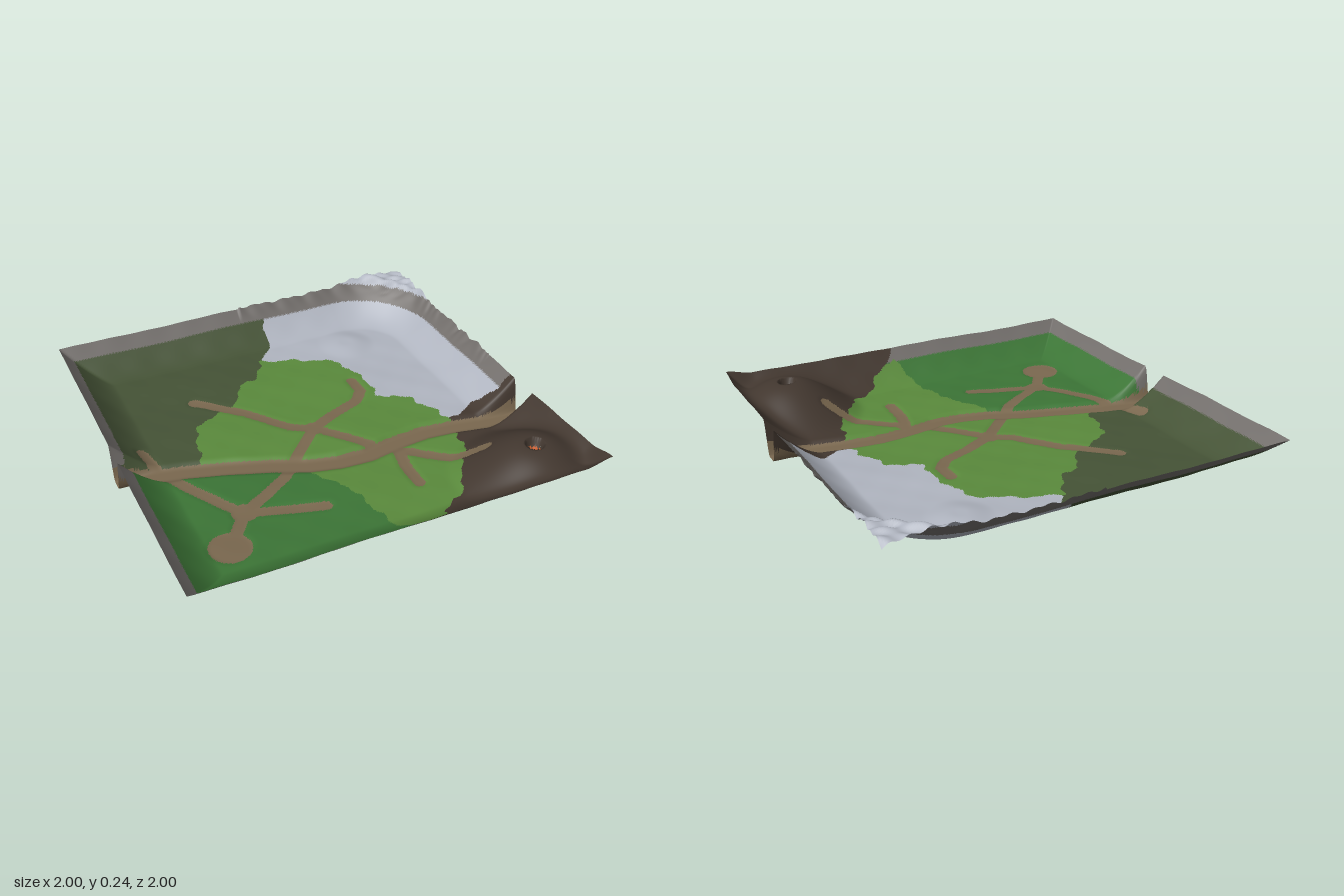
import * as THREE from 'three';

const N = 250;
const { hypot, sin, max, min, abs, pow } = Math;
const step = THREE.MathUtils.smoothstep;
const mat = (name, color) => {
  const m = new THREE.MeshStandardMaterial({ color, side: THREE.DoubleSide });
  m.name = name;
  return m;
};

// Sunken trail that crosses the whole map
const river = [[-1, 0], [-0.85, 0.02], [-0.7, 0.05], [-0.5, 0.11], [-0.3, 0.18], [-0.15, 0.25], [0, 0.288],
  [0.15, 0.295], [0.3, 0.265], [0.48, 0.25], [0.65, 0.27], [0.8, 0.3], [1, 0.31]];

// Narrow footpaths
const paths = [
  [[-0.46, -0.46], [-0.25, -0.26], [-0.1, -0.06], [0, 0], [0.1, 0.12], [0.2, 0.24]],
  [[0, 0], [0.14, -0.07], [0.3, -0.13], [0.36, -0.2], [0.36, -0.3]],
  [[0, 0], [-0.17, 0.17], [-0.28, 0.29], [-0.42, 0.38], [-0.55, 0.45]],
  [[-0.83, -0.14], [-0.8, 0], [-0.72, 0.18], [-0.62, 0.35], [-0.55, 0.45], [-0.2, 0.56]],
  [[-0.55, 0.45], [-0.62, 0.55], [-0.69, 0.64]],
  [[0.3, 0.3], [0.265, 0.45], [0.26, 0.59]],
  [[0.3, 0.33], [0.45, 0.46], [0.61, 0.58]],
];

// Outline of the central meadow
const meadow = [[0, -0.69], [0.12, -0.64], [0.25, -0.59], [0.36, -0.52], [0.4, -0.42], [0.43, -0.3], [0.42, -0.13],
  [0.47, -0.09], [0.56, -0.05], [0.58, 0.02], [0.62, 0.08], [0.63, 0.16], [0.67, 0.25], [0.6, 0.36], [0.58, 0.48],
  [0.5, 0.57], [0.45, 0.65], [0.38, 0.75], [0.25, 0.83], [0.17, 0.93], [0.08, 0.945], [0.03, 0.88], [0, 0.75],
  [-0.03, 0.6], [-0.06, 0.47], [-0.13, 0.38], [-0.17, 0.28], [-0.3, 0.18], [-0.5, 0.11], [-0.6, 0.07], [-0.59, 0],
  [-0.57, -0.1], [-0.52, -0.24], [-0.42, -0.3], [-0.3, -0.35], [-0.22, -0.43], [-0.2, -0.5], [-0.08, -0.54],
  [-0.03, -0.62]];

const crater = [0.755, 0.757];

function distToLine(x, z, line) {
  let best = 9;
  for (let i = 1; i < line.length; i++) {
    const [ax, az] = line[i - 1], dx = line[i][0] - ax, dz = line[i][1] - az;
    const t = min(1, max(0, ((x - ax) * dx + (z - az) * dz) / (dx * dx + dz * dz)));
    best = min(best, hypot(x - ax - t * dx, z - az - t * dz));
  }
  return best;
}

function inside(x, z, poly) {
  let hit = false;
  for (let i = 0, j = poly.length - 1; i < poly.length; j = i++) {
    const [ax, az] = poly[i], [bx, bz] = poly[j];
    if ((az > z) !== (bz > z) && x < ((bx - ax) * (z - az)) / (bz - az) + ax) hit = !hit;
  }
  return hit;
}

// Height of a polyline at a given x
function lineZ(x, line) {
  for (let i = 1; i < line.length; i++) {
    const [ax, az] = line[i - 1], [bx, bz] = line[i];
    if (x <= bx) return az + ((bz - az) * (x - ax)) / (bx - ax);
  }
  return line[line.length - 1][1];
}

function pathDist(x, z) {
  let d = min(hypot(x + 0.69, z - 0.64) - 0.068, hypot(x, z) - 0.022, hypot(x + 0.55, z - 0.45) - 0.03);
  for (const p of paths) d = min(d, distToLine(x, z, p));
  return d;
}

// How far out a point lies: square, with a rounded corner on the snowy side
function reach(x, z) {
  if (x > 0 && z < 0) return 0.55 + hypot(max(x - 0.55, 0), max(-z - 0.55, 0));
  return max(abs(x), abs(z));
}

function height(x, z) {
  const r = reach(x, z), t = max(0, (r - 0.78) / 0.22);
  let h = 0.02 + 0.16 * pow(min(t, 1.1), 1.5);
  h += 0.002 * (sin(9 * x + 4 * z) + sin(13 * z - 6 * x + 1)) + 0.001 * sin(31 * x + 2) * sin(27 * z);
  // raised corner at the front
  if (x > 0 && z > 0) h += 0.025 * step(min(x, z), 0.85, 1);
  // snow mound and rugged snowy peaks
  h += 0.016 * (1 - step(hypot(x - 0.5, z + 0.65), 0.03, 0.16));
  if (x > 0 && z < 0) {
    const rough = step(r, 0.93, 1.05);
    h += rough * (0.012 + 0.013 * sin(38 * x + 9 * sin(11 * z)) * sin(33 * z + 2) + 0.007 * sin(71 * x - 52 * z));
    h -= 0.03 * step(r, 1.1, 1.2);
  }
  // volcano with its crater
  const d = hypot(x - crater[0], z - crater[1]);
  const cone = 0.196 * (1 - step(d, 0.04, 0.45));
  h = pow(h ** 4 + cone ** 4, 0.25);
  if (d < 0.05) h = min(h, 0.15 + 0.06 * step(d, 0.032, 0.05));
  // footpaths and the sunken trail
  h -= 0.005 * (1 - step(pathDist(x, z), 0.015, 0.05));
  return max(0, h) * step(distToLine(x, z, river), 0.028, 0.078);
}

function region(x0, z0, y) {
  if (hypot(x0 - crater[0], z0 - crater[1]) < 0.033) return null;
  if (distToLine(x0, z0, river) < 0.05 || pathDist(x0, z0) < 0.029) return 'trails';
  // ragged borders
  const x = x0 + 0.008 * sin(41 * z0) + 0.005 * sin(83 * z0 + 1);
  const z = z0 + 0.008 * sin(37 * x0 + 2) + 0.005 * sin(79 * x0);
  if (inside(x, z, meadow)) return 'meadow';
  const r = reach(x0, z0), south = z0 > lineZ(x0, river);
  if (south && x > (z > 0.9 ? 0.17 - 1.1 * (z - 0.9) : 0.1)) return 'volcanicGround';
  if (!south && x > 0.62 && z > lineZ(x, [[0.62, 0.22], [0.72, 0.2], [0.79, 0.15], [0.88, 0.17], [1.1, 0.23]])) {
    return 'volcanicGround';
  }
  if (r > 1.005) return 'snowfield';
  if (r > 0.94 && y > 0.06) return 'rockRim';
  if (south) return 'lowland';
  return x > lineZ(z, [[-1.1, 0.12], [-0.9, 0.12], [-0.82, 0.11], [-0.75, 0.06], [-0.67, 0]]) ? 'snowfield' : 'darkForest';
}

export function createModel() {
  const group = new THREE.Group();
  const materials = {
    trails: mat('dirt', 0x7a684f),
    meadow: mat('bright grass', 0x5a8a3c),
    lowland: mat('deep grass', 0x3c7536),
    darkForest: mat('dark moss', 0x455336),
    snowfield: mat('snow', 0xb0b5c0),
    volcanicGround: mat('burnt earth', 0x42372f),
    rockRim: mat('rock', 0x726e6b),
  };

  // One height field gives the shape and the smooth normals
  const field = new THREE.PlaneGeometry(2, 2, N, N).rotateX(-Math.PI / 2);
  const pos = field.attributes.position;
  for (let i = 0; i < pos.count; i++) pos.setY(i, height(pos.getX(i), pos.getZ(i)));
  field.computeVertexNormals();
  const nor = field.attributes.normal, index = field.index;

  // Sort the triangles into ground types
  const parts = {};
  for (const key in materials) parts[key] = { map: new Map(), p: [], n: [], idx: [] };
  for (let f = 0; f < index.count; f += 3) {
    const v = [0, 1, 2].map((k) => index.getX(f + k));
    const mid = (get) => v.reduce((s, i) => s + pos[get](i), 0) / 3;
    const key = region(mid('getX'), mid('getZ'), mid('getY'));
    if (!key) continue;
    const part = parts[key];
    for (const i of v) {
      if (!part.map.has(i)) {
        part.map.set(i, part.map.size);
        part.p.push(pos.getX(i), pos.getY(i), pos.getZ(i));
        part.n.push(nor.getX(i), nor.getY(i), nor.getZ(i));
      }
      part.idx.push(part.map.get(i));
    }
  }
  for (const key in parts) {
    const geo = new THREE.BufferGeometry();
    geo.setAttribute('position', new THREE.Float32BufferAttribute(parts[key].p, 3));
    geo.setAttribute('normal', new THREE.Float32BufferAttribute(parts[key].n, 3));
    geo.setIndex(parts[key].idx);
    const mesh = new THREE.Mesh(geo, materials[key]);
    mesh.name = key;
    group.add(mesh);
  }

  // Lava funnel in the crater, point down
  const lava = new THREE.Mesh(new THREE.ConeGeometry(0.039, 0.07, 10, 1, true).rotateX(Math.PI), mat('lava', 0xcc5a20));
  lava.name = 'lavaFunnel';
  lava.position.set(crater[0], 0.125, crater[1]);
  group.add(lava);

  return group;
}
